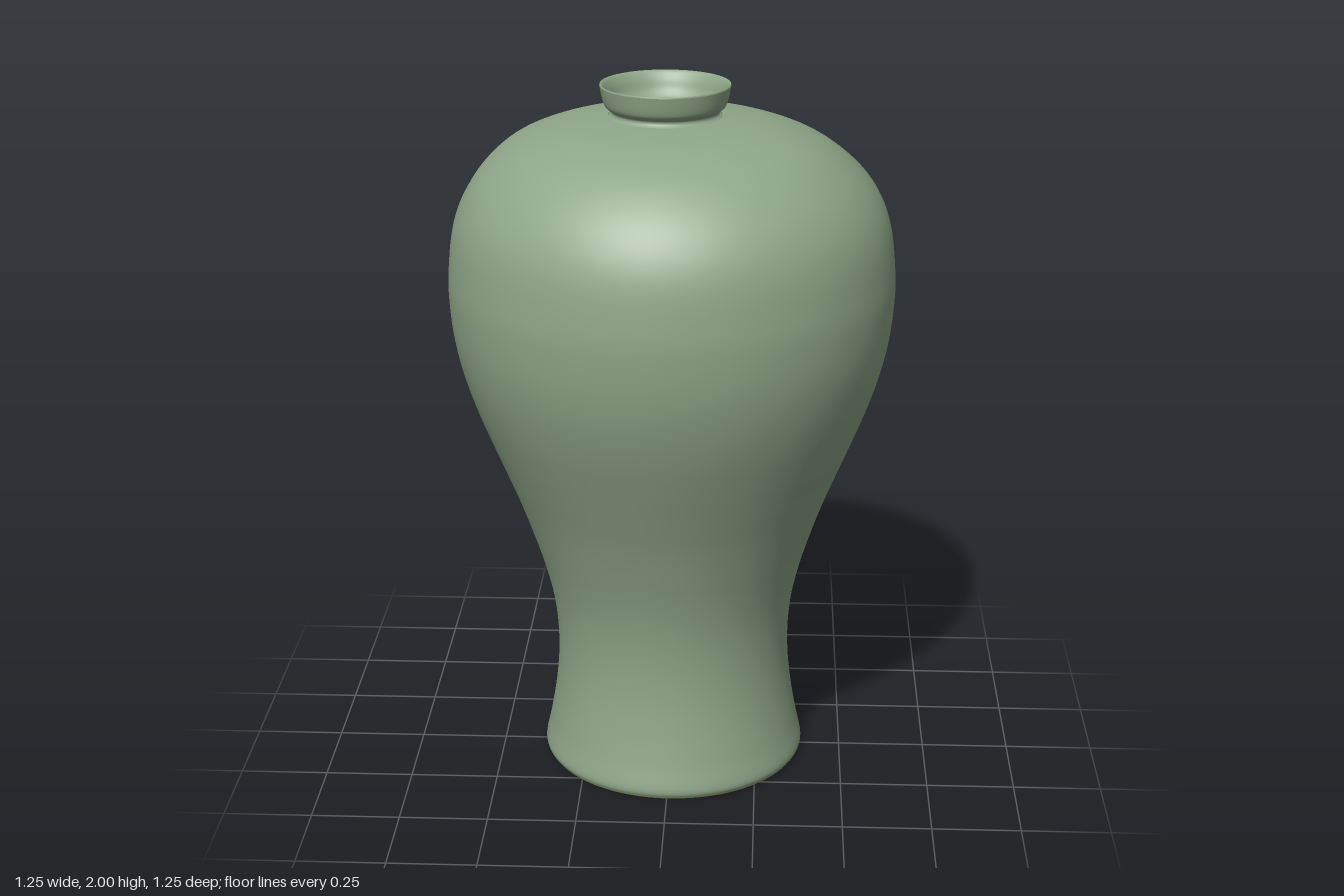
import * as THREE from 'three';

const SEG = 112;
const glaze = new THREE.MeshStandardMaterial({ color: 0x8fa688 });
glaze.name = 'celadonGlaze';
const clay = new THREE.MeshStandardMaterial({ color: 0xc2b26c });
clay.name = 'bareClay';
const baseGlaze = new THREE.MeshStandardMaterial({ color: 0x8ca593 });
baseGlaze.name = 'baseGlaze';

// Slight hand-thrown lean: the mouth sits off axis, the foot a little to the back.
function lean(geometry) {
  const p = geometry.attributes.position;
  for (let i = 0; i < p.count; i++) {
    const y = p.getY(i);
    const top = THREE.MathUtils.smoothstep(y, 1.7, 1.92);
    const foot = 1 - THREE.MathUtils.smoothstep(y, 0.1, 0.8);
    p.setX(i, p.getX(i) - 0.018 * top + 0.005 * foot);
    p.setZ(i, p.getZ(i) - 0.006 * foot);
  }
  return geometry;
}

const vectors = (pairs) => pairs.map(([r, y]) => new THREE.Vector2(r, y));
const smooth = (pairs, n) => new THREE.SplineCurve(vectors(pairs)).getPoints(n);

function turned(name, points, material) {
  const mesh = new THREE.Mesh(lean(new THREE.LatheGeometry(points, SEG)), material);
  mesh.name = name;
  return mesh;
}

export function createModel() {
  const vase = new THREE.Group();
  vase.name = 'vase';

  // Outer wall from the flared foot over the broad shoulder
  vase.add(turned('body', smooth([
    [0.374, 0.007], [0.38, 0.03], [0.365, 0.1], [0.348, 0.2], [0.338, 0.3], [0.338, 0.4],
    [0.349, 0.5], [0.372, 0.6], [0.403, 0.7], [0.438, 0.8], [0.478, 0.9], [0.519, 1.0],
    [0.558, 1.1], [0.59, 1.2], [0.612, 1.3], [0.622, 1.4], [0.622, 1.48], [0.608, 1.6],
    [0.576, 1.69], [0.519, 1.77], [0.432, 1.84], [0.32, 1.885], [0.22, 1.904], [0.157, 1.912],
  ], 120), glaze));

  // Short neck and flared mouth
  vase.add(turned('neck', smooth([
    [0.157, 1.911], [0.149, 1.918], [0.149, 1.927], [0.16, 1.935], [0.168, 1.945],
    [0.174, 1.965], [0.18, 1.996],
  ], 28), glaze));
  vase.add(turned('lip', smooth([
    [0.18, 1.996], [0.178, 2.0], [0.17, 1.994], [0.159, 1.976], [0.149, 1.951], [0.136, 1.933],
    [0.122, 1.922], [0.12, 1.9], [0.122, 1.885],
  ], 40), glaze));

  // Hollow inside with its floor
  vase.add(turned('interior', smooth([
    [0.122, 1.885], [0.2, 1.865], [0.38, 1.815], [0.5, 1.72], [0.565, 1.58], [0.58, 1.42],
    [0.548, 1.2], [0.477, 1.0], [0.395, 0.8], [0.33, 0.6], [0.295, 0.4], [0.29, 0.2],
    [0.24, 0.11], [0.12, 0.09], [0, 0.09],
  ], 60), glaze));

  // Unglazed foot ring and shallow recess
  vase.add(turned('recess', vectors([[0, 0.03], [0.3, 0.028], [0.318, 0.022]]), clay));
  vase.add(turned('footRing', smooth([
    [0.318, 0.022], [0.326, 0.004], [0.338, 0], [0.355, 0], [0.368, 0.001], [0.374, 0.007],
  ], 24), clay));

  // Glazed patch with a ragged edge under the base
  const edge = [];
  for (let i = 0; i < 120; i++) {
    const a = (i / 120) * Math.PI * 2;
    const r = 0.27 + 0.014 * Math.sin(3 * a + 1) + 0.01 * Math.sin(8 * a) + 0.008 * Math.sin(19 * a + 2);
    edge.push(new THREE.Vector2(Math.cos(a) * r, Math.sin(a) * r));
  }
  const patch = new THREE.Mesh(new THREE.ShapeGeometry(new THREE.Shape(edge)), baseGlaze);
  patch.name = 'basePatch';
  patch.rotation.x = Math.PI / 2;
  patch.position.set(0.005, 0.025, -0.006);
  vase.add(patch);

  return vase;
}
